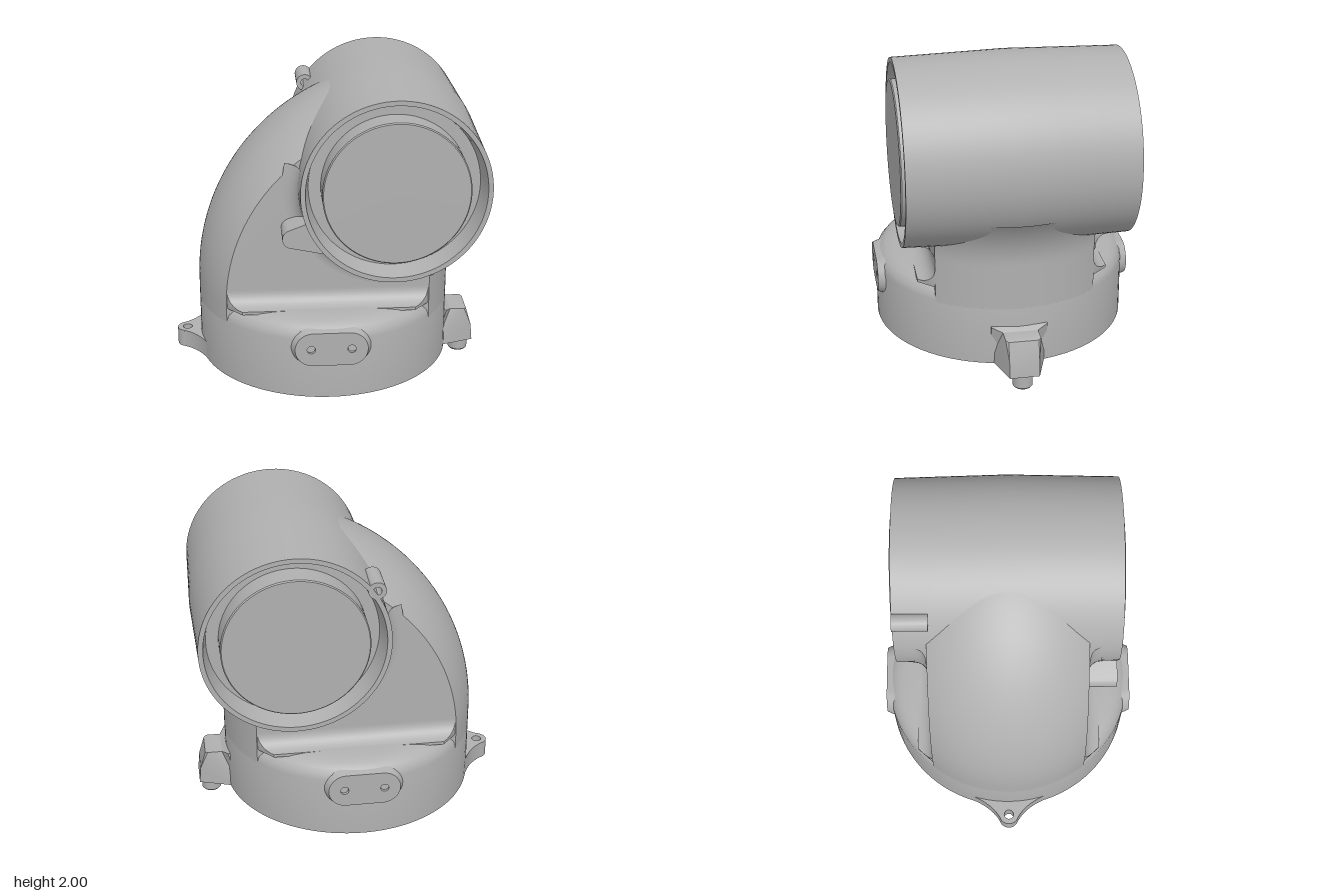
import * as THREE from 'three';
import { toCreasedNormals } from 'three/addons/utils/BufferGeometryUtils.js';
import { ParametricGeometry } from 'three/addons/geometries/ParametricGeometry.js';

const CX = -0.02, R = 0.81, SIDE = 0.5;           // base centre, base radius, half width of the neck
const TUBE = { x: 0.38, y: 1.4 };                 // axis of the cross tube
const BEND = { x: 0.556, y: 0.6, r: 1.386 };      // pivot and outer radius of the elbow
const chord = (z) => Math.sqrt(Math.max(0, R * R - z * z));
const V = (pts) => pts.map(([x, y]) => new THREE.Vector2(x, y));

export function createModel() {
  const group = new THREE.Group();
  const grey = new THREE.MeshStandardMaterial({ color: 0xb0b0b0, side: THREE.DoubleSide });
  grey.name = 'grey';

  const add = (name, geo, crease = 0.5) => {
    const mesh = new THREE.Mesh(toCreasedNormals(geo, crease), grey);
    mesh.name = name;
    group.add(mesh);
    return mesh;
  };
  const warp = (geo, rule) => {
    const p = geo.attributes.position, v = new THREE.Vector3();
    for (let i = 0; i < p.count; i++) {
      rule(v.fromBufferAttribute(p, i));
      p.setXYZ(i, v.x, v.y, v.z);
    }
    return geo;
  };
  const extrude = (shape, depth) =>
    new THREE.ExtrudeGeometry(shape, { depth, bevelEnabled: false, curveSegments: 20 });
  const hole = (x, y, r) => new THREE.Path().absarc(x, y, r, 0, Math.PI * 2, true);

  // Round base with rolled shoulder and recessed underside
  const base = new THREE.LatheGeometry(V([
    [0, 0.24], [0.77, 0.24], [0.77, 0.1], [R, 0.1], [R, 0.49], [0.8, 0.53],
    [0.775, 0.56], [0.74, 0.583], [0.69, 0.595], [0.62, 0.6], [0, 0.6],
  ]), 96);
  add('base', base.translate(CX, 0, 0));

  // Outer bend of the elbow: a straight foot, then a swept arc
  const maxAngle = THREE.MathUtils.degToRad(75);
  add('elbow', new ParametricGeometry((u, v, t) => {
    const z = (u * 2 - 1) * SIDE;
    const r = BEND.r - R + chord(z);
    const a = Math.max(0, (v - 0.08) / 0.92) * maxAngle;
    const foot = Math.min(0, (v - 0.08) / 0.08) * 0.12;
    t.set(BEND.x - r * Math.cos(a), BEND.y + r * Math.sin(a) + foot, z);
  }, 32, 50));

  // Rear wall of the neck, flaring into the tube
  add('neck', new ParametricGeometry((u, v, t) => {
    const z = (u * 2 - 1) * SIDE, y = 0.48 + v * 0.62;
    const flare = 0.09 * (Math.max(0, y - 0.78) / 0.27) ** 2;
    t.set(CX + chord(z) + flare, y, z);
  }, 32, 24));

  // Flat cheeks on both sides of the elbow
  const edge = BEND.r - R + chord(SIDE);
  const cheek = new THREE.Shape();
  cheek.moveTo(CX + chord(SIDE), 0.48);
  cheek.lineTo(CX + chord(SIDE), 1.3);
  cheek.lineTo(BEND.x - edge * Math.cos(maxAngle), BEND.y + edge * Math.sin(maxAngle));
  cheek.absarc(BEND.x, BEND.y, edge, Math.PI - maxAngle, Math.PI, false);
  cheek.lineTo(BEND.x - edge, 0.48);

  // Concave quarter profile shared by the ledge fillets
  const f = 0.1;
  const ledge = new THREE.Shape();
  ledge.moveTo(-0.02, -0.02);
  ledge.lineTo(f, -0.02);
  ledge.lineTo(f, 0);
  ledge.absarc(f, f, f, Math.PI * 1.5, Math.PI, true);
  ledge.lineTo(-0.02, f);

  // Pad with two screw holes
  const pad = new THREE.Shape();
  pad.absarc(0.115, 0, 0.11, -Math.PI / 2, Math.PI / 2, false);
  pad.absarc(-0.115, 0, 0.11, Math.PI / 2, Math.PI * 1.5, false);
  pad.holes.push(hole(0.125, 0, 0.026), hole(-0.125, 0, 0.026));

  for (const s of [1, -1]) {
    const side = s > 0 ? 'front' : 'back';
    add(side + 'Cheek', new THREE.ShapeGeometry(cheek, 40).translate(0, 0, s * SIDE));

    // Fillet between cheek and shoulder, its ends trimmed to the round base
    const fillet = warp(extrude(ledge, 2), (p) => {
      const z = SIDE + p.x, end = p.z > 1 ? 1 : -1;
      p.set(CX + end * (chord(z) - 0.005), 0.598 + p.y, s * z);
    });
    add(side + 'LedgeFillet', fillet);

    // Fillet between cheek and tube, following the tube's circle
    const curve = [];
    for (let i = 0; i <= 8; i++) {
      const a = (i / 8) * Math.PI / 2;
      curve.push([0.68 - 0.095 * Math.sin(a), SIDE + 0.085 * (1 - Math.cos(a))]);
    }
    const collar = new THREE.LatheGeometry(V(curve), 40, -1.78, 2.18);
    collar.rotateX(Math.PI / 2).scale(1, 1, s).translate(TUBE.x, TUBE.y, 0);
    add(side + 'TubeFillet', collar);

    // Screw pad, widening toward the base wall
    const plate = warp(extrude(pad, 0.1), (p) => {
      const k = p.z < 0.05 ? 1.2 : 1;
      p.set(CX + p.x * k, 0.435 + p.y * k, s * (0.72 + p.z));
    });
    add(side + 'ScrewPad', plate);
  }

  // Cross tube, slightly barrelled, with a raised disc inside each rim
  const half = [[0, 0.715], [0.443, 0.715], [0.45, 0.708], [0.45, 0.55], [0.525, 0.55], [0.55, 0.7],
    [0.58, 0.7], [0.586, 0.45], [0.592, 0.2]];
  const profile = [...half, [0.597, 0], ...half.slice().reverse().map(([r, z]) => [r, -z])];
  const tube = new THREE.LatheGeometry(V(profile), 96);
  add('crossTube', tube.rotateX(Math.PI / 2).translate(TUBE.x, TUBE.y, 0));

  // Rounded tongue beside the front rim
  const tongue = new THREE.Shape();
  tongue.moveTo(-0.03, 1.01);
  tongue.lineTo(-0.262, 1.06);
  tongue.absarc(-0.25, 1.118, 0.06, Math.PI * 1.44, Math.PI * 0.63, true);
  tongue.lineTo(-0.15, 1.22);
  add('frontTongue', extrude(tongue, 0.22).translate(0, 0, 0.47));

  // Small screw boss beside the back rim
  const boss = new THREE.Shape().absarc(0, 0, 0.055, 0, Math.PI * 2, false);
  boss.holes.push(hole(0, 0, 0.026));
  add('backScrewBoss', extrude(boss, 0.22).translate(-0.105, 1.74, -0.7));

  // Mounting ear at the foot of the elbow
  const ear = new THREE.Shape();
  ear.moveTo(-0.72, -0.28);
  ear.lineTo(-0.785, -0.26);
  ear.quadraticCurveTo(-0.83, -0.12, -0.945, -0.06);
  ear.absarc(-0.92, 0, 0.065, Math.PI * 1.6, Math.PI * 0.4, true);
  ear.lineTo(-0.945, 0.06);
  ear.quadraticCurveTo(-0.83, 0.12, -0.785, 0.26);
  ear.lineTo(-0.72, 0.28);
  const earShape = new THREE.Shape();
  earShape.moveTo(-0.74, -0.28);
  earShape.lineTo(-0.785, -0.26);
  earShape.quadraticCurveTo(-0.84, -0.12, -0.94, -0.062);
  earShape.absarc(-0.92, 0, 0.065, -Math.PI * 0.6, Math.PI * 0.6, true);
  earShape.quadraticCurveTo(-0.84, 0.12, -0.785, 0.26);
  earShape.lineTo(-0.74, 0.28);
  earShape.holes.push(hole(-0.92, 0, 0.031));
  add('mountingEar', extrude(earShape, 0.115).rotateX(-Math.PI / 2).translate(0, 0.1, 0));

  // Tapered lug opposite the ear, spreading where it meets the base
  const lug = new THREE.Shape(V([[0.72, 0.1], [0.975, 0.1], [0.965, 0.21], [0.93, 0.33],
    [0.915, 0.337], [0.82, 0.337], [0.785, 0.36], [0.72, 0.36]]));
  add('locatingLug', warp(extrude(lug, 0.22), (p) => {
    const spread = p.x < 0.8 ? 1.6 : p.x > 0.92 ? 0.85 : 1;
    p.z = (p.z - 0.11) * spread;
  }));

  // Hollow locating pin under the lug
  const pin = new THREE.LatheGeometry(V([
    [0, 0.08], [0.03, 0.08], [0.03, 0], [0.055, 0], [0.063, 0.01], [0.063, 0.15],
  ]), 32);
  add('locatingPin', pin.translate(0.895, 0, 0));

  return group;
}
